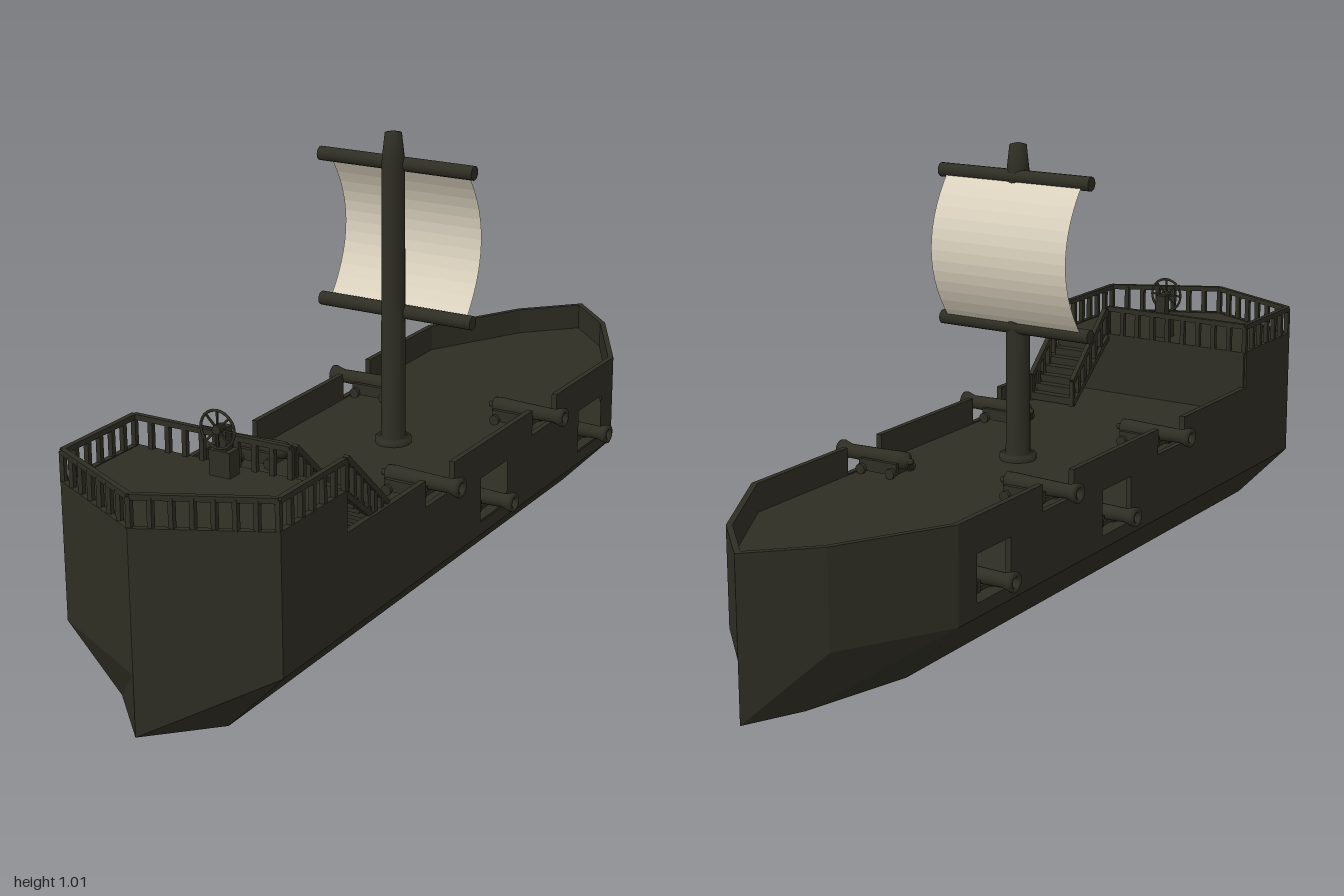
import * as THREE from 'three';

const wood = new THREE.MeshStandardMaterial({ color: 0x2f2e24 });
wood.name = 'dark wood';
const cloth = new THREE.MeshStandardMaterial({ color: 0xdcd3bf, side: THREE.DoubleSide, flatShading: true });
cloth.name = 'sail cloth';

const BILGE = 0.135, RAIL = 0.35, POOP = 0.44, DECK = 0.287, GUNDECK = 0.165, STEP_Z = 0.63;
// hull plan as [x, z], running from the stern point round by +x
const half = [[0, 1], [0.26, 0.87], [0.26, -0.63], [0.125, -0.875], [0, -1]];
const plan = [...half, ...half.slice(1, 4).reverse().map(([x, z]) => [-x, z])];
const V = (x, y, z) => new THREE.Vector3(x, y, z);

function add(parent, name, geometry, x = 0, y = 0, z = 0, material = wood) {
  const mesh = new THREE.Mesh(geometry, material);
  mesh.name = name;
  mesh.position.set(x, y, z);
  parent.add(mesh);
  return mesh;
}
const box = (parent, name, w, h, d, x, y, z) => add(parent, name, new THREE.BoxGeometry(w, h, d), x, y, z);

// square bar between two points
function beam(parent, name, a, b, w) {
  const mid = a.clone().add(b).multiplyScalar(0.5);
  const mesh = add(parent, name, new THREE.BoxGeometry(w, w, a.distanceTo(b)), mid.x, mid.y, mid.z);
  mesh.lookAt(b);
}

// handrail with upright posts down to a parallel foot line
function railing(parent, a, b, height, count) {
  beam(parent, 'handrail', a, b, 0.012);
  for (let i = 0; i <= count; i++) {
    const p = a.clone().lerp(b, i / count);
    box(parent, 'railPost', 0.011, height, 0.011, p.x, p.y - height / 2, p.z);
  }
}

// flat deck following a plan outline
function deck(parent, name, outline, top) {
  const shape = new THREE.Shape(outline.map(([x, z]) => new THREE.Vector2(x * 0.98, -z * 0.99)));
  const g = new THREE.ExtrudeGeometry(shape, { depth: 0.012, bevelEnabled: false });
  g.rotateX(-Math.PI / 2);
  add(parent, name, g, 0, top - 0.012, 0);
}

function lowerHull(parent) {
  const pos = [];
  plan.forEach(([ax, az], i) => {
    const [bx, bz] = plan[(i + 1) % plan.length];
    const a = [ax, BILGE, az], b = [bx, BILGE, bz], c = [ax / 2, 0, az], d = [bx / 2, 0, bz];
    pos.push(...c, ...d, ...b, ...c, ...b, ...a, 0, 0, 0, ...d, ...c);
  });
  const g = new THREE.BufferGeometry();
  g.setAttribute('position', new THREE.Float32BufferAttribute(pos, 3));
  g.computeVertexNormals();
  add(parent, 'lowerHull', g);
}

// outline of a long side as [z, y], with open gun notches
function sideProfile() {
  const pts = [[0.87, BILGE], [0.87, POOP], [STEP_Z, POOP], [STEP_Z, RAIL]];
  for (const z of [0.25, -0.25])
    pts.push([z + 0.063, RAIL], [z + 0.063, 0.29], [z - 0.063, 0.29], [z - 0.063, RAIL]);
  pts.push([-0.63, RAIL], [-0.63, BILGE]);
  return pts;
}

function hullWalls(parent) {
  const t = 0.013;
  plan.forEach(([ax, az], i) => {
    const [bx, bz] = plan[(i + 1) % plan.length];
    const a = V(ax, 0, az), b = V(bx, 0, bz), length = a.distanceTo(b);
    const dir = b.clone().sub(a).normalize(), up = V(0, 1, 0), out = dir.clone().cross(up);
    let shape;
    if (length > 1) {
      const point = ([z, y]) => new THREE.Vector2(Math.abs(z - az), y);
      shape = new THREE.Shape(sideProfile().map(point));
      for (const z of [0, -0.5])
        shape.holes.push(new THREE.Path([[z - 0.063, 0.165], [z + 0.063, 0.165],
          [z + 0.063, 0.27], [z - 0.063, 0.27]].map(point)));
    } else {
      const top = az + bz > 0 ? POOP : RAIL;
      shape = new THREE.Shape([[0, BILGE], [length, BILGE], [length, top], [0, top]]
        .map(([u, v]) => new THREE.Vector2(u, v)));
    }
    const g = new THREE.ExtrudeGeometry(shape, { depth: t, bevelEnabled: false });
    g.translate(0, 0, -t);
    g.applyMatrix4(new THREE.Matrix4().makeBasis(dir, up, out).setPosition(a));
    add(parent, 'hullWall', g);
  });
}

// gun pointing to +x, resting on floor height y
function cannon(x, y, z) {
  const gun = new THREE.Group();
  gun.name = 'cannon';
  const profile = [[0, 0.115], [0.007, 0.118], [0.007, 0.127], [0.019, 0.132], [0.02, 0.15], [0.018, 0.2],
    [0.016, 0.284], [0.018, 0.292], [0.022, 0.304], [0.022, 0.312], [0.012, 0.312], [0.01, 0.29], [0, 0.29]];
  const barrel = new THREE.LatheGeometry(profile.map(([r, h]) => new THREE.Vector2(r, h)), 16);
  barrel.rotateZ(-Math.PI / 2);
  add(gun, 'barrel', barrel, 0, 0.035, 0);
  box(gun, 'carriageBed', 0.09, 0.01, 0.06, 0.19, 0.011, 0);
  for (const s of [-1, 1]) {
    box(gun, 'carriageCheek', 0.1, 0.026, 0.01, 0.19, 0.02, s * 0.026);
    for (const wx of [0.15, 0.23]) {
      const wheel = new THREE.CylinderGeometry(0.012, 0.012, 0.009, 12);
      wheel.rotateX(Math.PI / 2);
      add(gun, 'carriageWheel', wheel, wx, 0.012, s * 0.038);
    }
  }
  gun.position.set(0, y, z);
  if (x < 0) gun.rotation.y = Math.PI;
  return gun;
}

function sternCastle(parent) {
  deck(parent, 'sternDeck', [[0, 1], [0.26, 0.87], [0.26, STEP_Z], [-0.26, STEP_Z], [-0.26, 0.87]], POOP - 0.002);
  box(parent, 'cabinWall', 0.51, POOP - DECK, 0.012, 0, (POOP + DECK) / 2 - 0.002, STEP_Z);
  const y = 0.502, h = 0.065;
  for (const s of [-1, 1]) {
    railing(parent, V(0, y, 0.99), V(s * 0.254, y, 0.866), h, 7);
    railing(parent, V(s * 0.254, y, 0.866), V(s * 0.254, y, STEP_Z), h, 6);
  }
  railing(parent, V(-0.254, y, STEP_Z), V(0.13, y, STEP_Z), h, 9);
  // stairs down to the main deck
  const n = 8;
  for (let i = 0; i < n; i++)
    box(parent, 'stairStep', 0.115, 0.018, 0.026, 0.19, POOP - 0.012 - i * 0.0185, 0.617 - i * 0.022);
  for (const x of [0.13, 0.248]) {
    railing(parent, V(x, y, 0.615), V(x, 0.35, 0.455), h, 6);
    beam(parent, 'stairStringer', V(x, 0.43, 0.625), V(x, 0.292, 0.455), 0.012);
  }
  // steering wheel on its stand
  box(parent, 'wheelStand', 0.05, 0.055, 0.035, 0, 0.465, 0.675);
  box(parent, 'wheelPost', 0.026, 0.055, 0.022, 0, 0.515, 0.675);
  add(parent, 'wheelRim', new THREE.TorusGeometry(0.04, 0.003, 8, 28), 0, 0.54, 0.695);
  const hub = new THREE.CylinderGeometry(0.01, 0.01, 0.022, 12);
  hub.rotateX(Math.PI / 2);
  add(parent, 'wheelHub', hub, 0, 0.54, 0.69);
  for (let i = 0; i < 4; i++)
    box(parent, 'wheelSpokes', 0.08, 0.004, 0.004, 0, 0.54, 0.695).rotation.z = i * Math.PI / 4;
}

function rigging(parent) {
  const mast = [[0.042, DECK], [0.042, 0.3], [0.028, 0.302], [0.026, 0.94], [0.024, 0.96], [0.019, 1.005], [0, 1.01]];
  add(parent, 'mast', new THREE.LatheGeometry(mast.map(([r, y]) => new THREE.Vector2(r, y)), 20));
  for (const y of [0.935, 0.597]) {
    const yard = new THREE.CylinderGeometry(0.016, 0.016, 0.39, 14);
    yard.rotateZ(Math.PI / 2);
    add(parent, 'yard', yard, 0, y, -0.012);
  }
  // sail bellied towards the bow
  const sail = new THREE.PlaneGeometry(0.35, 0.338, 1, 14);
  const p = sail.attributes.position;
  for (let i = 0; i < p.count; i++) p.setZ(i, -0.07 * (1 - (p.getY(i) / 0.169) ** 2));
  sail.computeVertexNormals();
  add(parent, 'sail', sail, 0, 0.766, -0.016, cloth);
}

export function createModel() {
  const ship = new THREE.Group();
  ship.name = 'sailingShip';
  lowerHull(ship);
  hullWalls(ship);
  deck(ship, 'gunDeck', plan, GUNDECK);
  deck(ship, 'mainDeck', plan, DECK);
  sternCastle(ship);
  rigging(ship);
  for (const s of [-1, 1]) {
    for (const z of [0.25, -0.25]) ship.add(cannon(s, DECK, z));
    for (const z of [0, -0.5]) ship.add(cannon(s, GUNDECK, z));
  }
  return ship;
}
